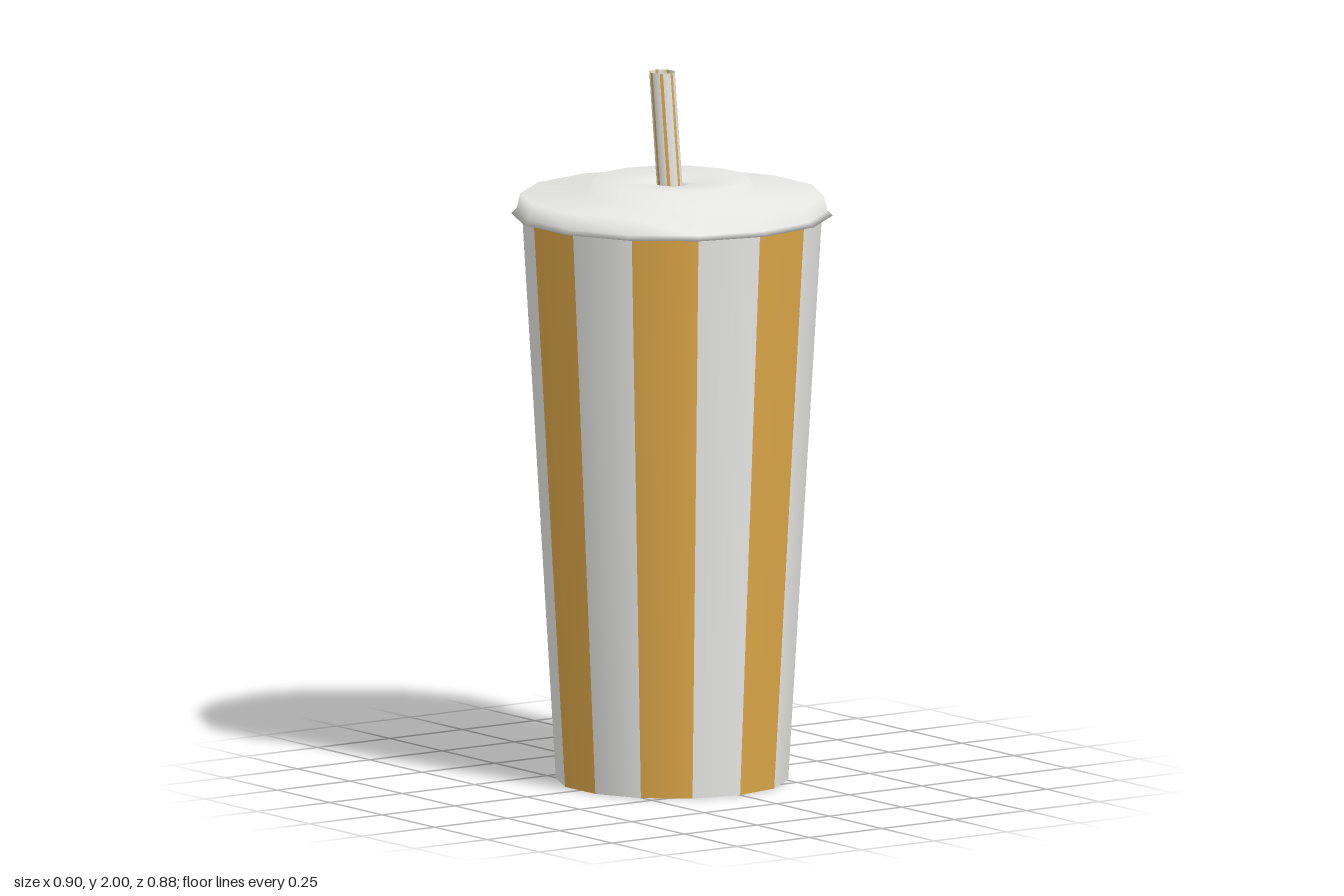
import * as THREE from 'three';

const SIDES = 14;
const STEP = (Math.PI * 2) / SIDES;

const white = new THREE.MeshStandardMaterial({ color: 0xe8e8e6, side: THREE.DoubleSide });
white.name = 'white';
const orange = new THREE.MeshStandardMaterial({ color: 0xdca748, side: THREE.DoubleSide });
orange.name = 'orange';

const profile = (pairs) => pairs.map(([r, y]) => new THREE.Vector2(r, y));

function addMesh(parent, name, geometry, material) {
  const mesh = new THREE.Mesh(geometry, material);
  mesh.name = name;
  parent.add(mesh);
  return mesh;
}

// One flat-sided panel of a turned shape, centred on the angle phi (0 = front)
const panel = (points, phi, width) => new THREE.LatheGeometry(points, 1, phi - width / 2, width);

export function createModel() {
  const model = new THREE.Group();
  model.name = 'drinkCup';

  // Tapered cup wall in alternating stripes
  const cup = new THREE.Group();
  cup.name = 'cup';
  model.add(cup);
  const wall = profile([[0.325, 0], [0.42, 1.61]]);
  for (let i = 0; i < SIDES; i++) {
    const striped = i % 2 === 0;
    addMesh(cup, striped ? 'orangeStripe' : 'whiteStripe', panel(wall, i * STEP, STEP), striped ? orange : white);
  }
  addMesh(cup, 'cupBase', new THREE.CircleGeometry(0.325, SIDES).rotateX(Math.PI / 2), white);

  // Lid: flared lip, flat ring, raised centre and straw hole
  const lid = profile([
    [0.415, 1.602], [0.45, 1.602], [0.435, 1.615], [0.425, 1.658],
    [0.23, 1.66], [0.22, 1.703], [0.05, 1.69], [0.05, 1.665],
  ]);
  addMesh(model, 'lid', new THREE.LatheGeometry(lid, SIDES, STEP / 2, Math.PI * 2), white);

  // Open straw with thin stripes, leaning to the right with level ends
  const straw = new THREE.Group();
  straw.name = 'straw';
  model.add(straw);
  const tube = profile([[0.036, 0.1], [0.036, 2]]);
  const lean = (geometry) => {
    const p = geometry.attributes.position;
    for (let i = 0; i < p.count; i++) p.setX(i, p.getX(i) - 0.048 + (2 - p.getY(i)) * 0.115);
    return geometry;
  };
  const pair = STEP * 2;
  const thin = pair * 0.28;
  for (let i = 0; i < SIDES / 2; i++) {
    const phi = i * pair;
    addMesh(straw, 'strawStripe', lean(panel(tube, phi, thin)), orange);
    addMesh(straw, 'strawWall', lean(new THREE.LatheGeometry(tube, 2, phi + thin / 2, pair - thin)), white);
  }

  return model;
}
